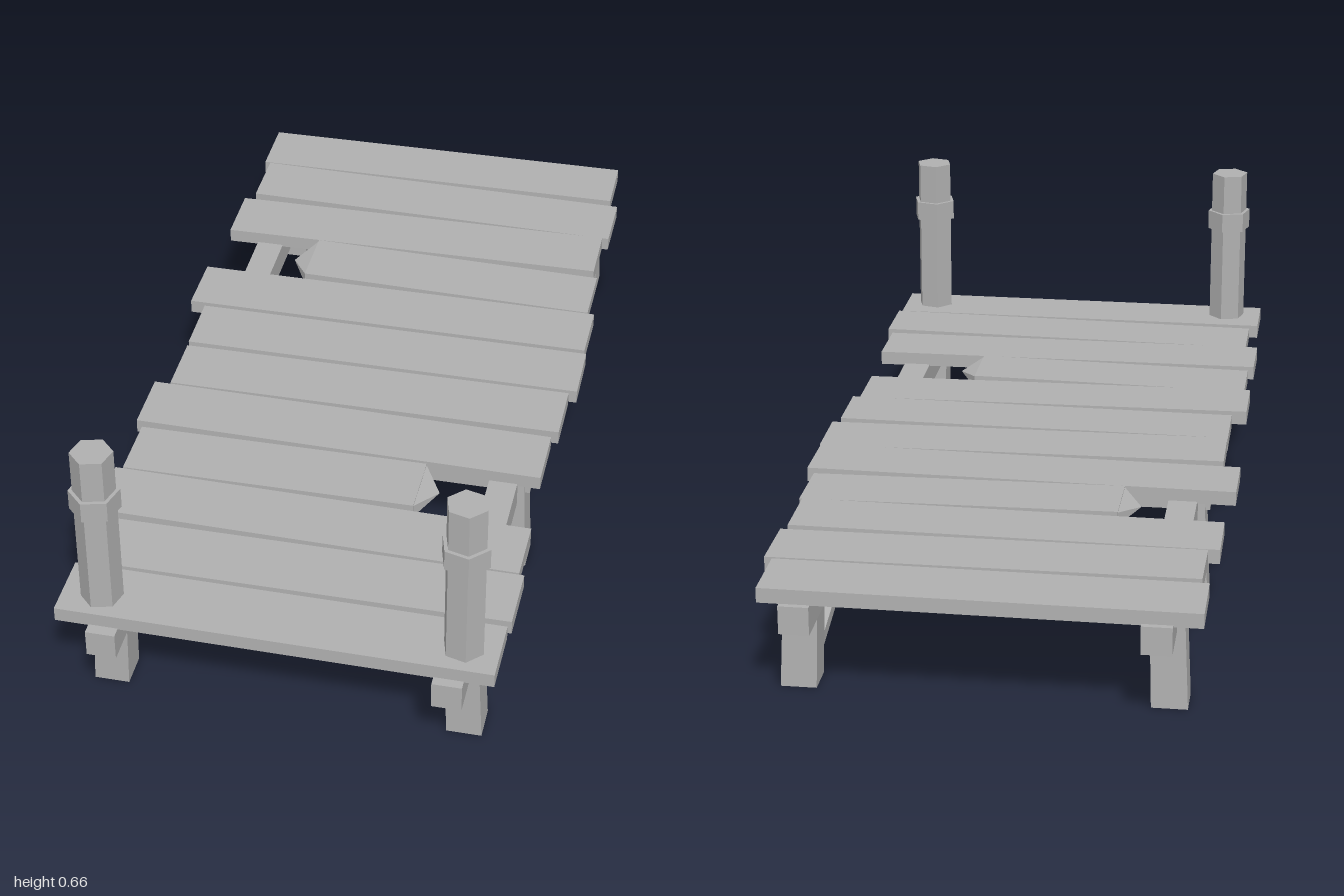
import * as THREE from 'three';

const wood = new THREE.MeshStandardMaterial({ color: 0xb0b0b0 });
wood.name = 'weatheredGrey';

export function createModel() {
  const dock = new THREE.Group();
  dock.name = 'dock';

  const add = (name, geometry, x, y, z, parent = dock) => {
    const mesh = new THREE.Mesh(geometry, wood);
    mesh.name = name;
    mesh.position.set(x, y, z);
    parent.add(mesh);
    return mesh;
  };
  const box = (name, w, h, d, x, y, z, parent) => add(name, new THREE.BoxGeometry(w, h, d), x, y, z, parent);
  // Faceted prism or cone with hard edges
  const faceted = (geometry) => {
    const flat = geometry.toNonIndexed();
    flat.computeVertexNormals();
    return flat;
  };

  // Deck planks from back to front: [left end x, right end x, yaw, roll]
  const planks = [
    [-0.47, 0.455, 0, 0.004], [-0.455, 0.475, -0.008, -0.006], [-0.48, 0.46, 0.002, 0.008],
    [-0.245, 0.47, -0.008, -0.012], [-0.495, 0.487, -0.007, 0.006], [-0.455, 0.492, 0.006, -0.004],
    [-0.455, 0.475, 0, 0.005], [-0.49, 0.46, -0.002, -0.008], [-0.475, 0.2, -0.006, 0.012],
    [-0.49, 0.468, -0.008, -0.005], [-0.46, 0.48, -0.006, 0.008], [-0.482, 0.472, -0.005, 0],
  ];
  planks.forEach(([x0, x1, yaw, roll], i) => {
    const z = -0.911 + i * 0.1647;
    const plank = box('plank', x1 - x0, 0.033, 0.152, (x0 + x1) / 2, 0.255, z);
    plank.rotation.set(0, yaw, roll);
    // Splintered ends of the two broken planks
    const side = i === 3 ? -1 : i === 8 ? 1 : 0;
    if (side) {
      const cone = new THREE.ConeGeometry(Math.SQRT1_2, 1, 4, 1, true);
      cone.rotateY(Math.PI / 4).scale(0.03, 0.045, 0.148).rotateZ(-side * Math.PI / 2);
      add('brokenEnd', faceted(cone), side * ((x1 - x0) / 2 + 0.0225), -0.001, 0, plank);
    }
  });

  // Legs: open at the foot, leaning slightly inward
  const legGeometry = (side, lean) => {
    const g = new THREE.CylinderGeometry(0.052, 0.055, 0.235, 4, 1, true);
    g.rotateY(Math.PI / 4);
    const p = g.attributes.position;
    for (let i = 0; i < p.count; i++) {
      if (p.getY(i) > 0) {
        p.setX(i, p.getX(i) - side * 0.009);
        p.setZ(i, p.getZ(i) + lean);
      }
    }
    return faceted(g);
  };
  const legZ = [0.848, 0.28, -0.272, -0.845];
  const lean = [0.006, -0.004, 0.006, 0.004];

  for (const side of [-1, 1]) {
    // Long beams under the deck
    box('longBeam', 0.065, 0.063, 2, side * 0.375, 0.209, 0);
    legZ.forEach((z, i) => add('leg', legGeometry(side, lean[i]), side * 0.395, 0.1175, z));

    // Six-sided mooring posts with collars
    const turn = THREE.MathUtils.degToRad(side < 0 ? 45 : 15);
    const post = new THREE.CylinderGeometry(0.046, 0.046, 0.42, 6);
    add('mooringPost', faceted(post), side * 0.394, 0.453, 0.91).rotation.y = turn;
    const collar = new THREE.CylinderGeometry(0.055, 0.055, 0.048, 6);
    add('postCollar', faceted(collar), side * 0.394, 0.539, 0.91).rotation.y = turn;
  }

  // Cross beams over each pair of legs
  for (const z of legZ) box('crossBeam', 0.87, 0.034, 0.048, 0, 0.224, z);

  // Diagonal braces: [x, upper z, lower z]
  for (const [x, za, zb] of [[-0.375, 0.84, 0.29], [0.375, -0.28, -0.835]]) {
    const from = new THREE.Vector3(x, 0.188, za);
    const to = new THREE.Vector3(x, 0.052, zb);
    const mid = from.clone().add(to).multiplyScalar(0.5);
    const brace = box('brace', 0.03, 0.026, from.distanceTo(to), mid.x, mid.y, mid.z);
    brace.lookAt(to);
  }

  return dock;
}
